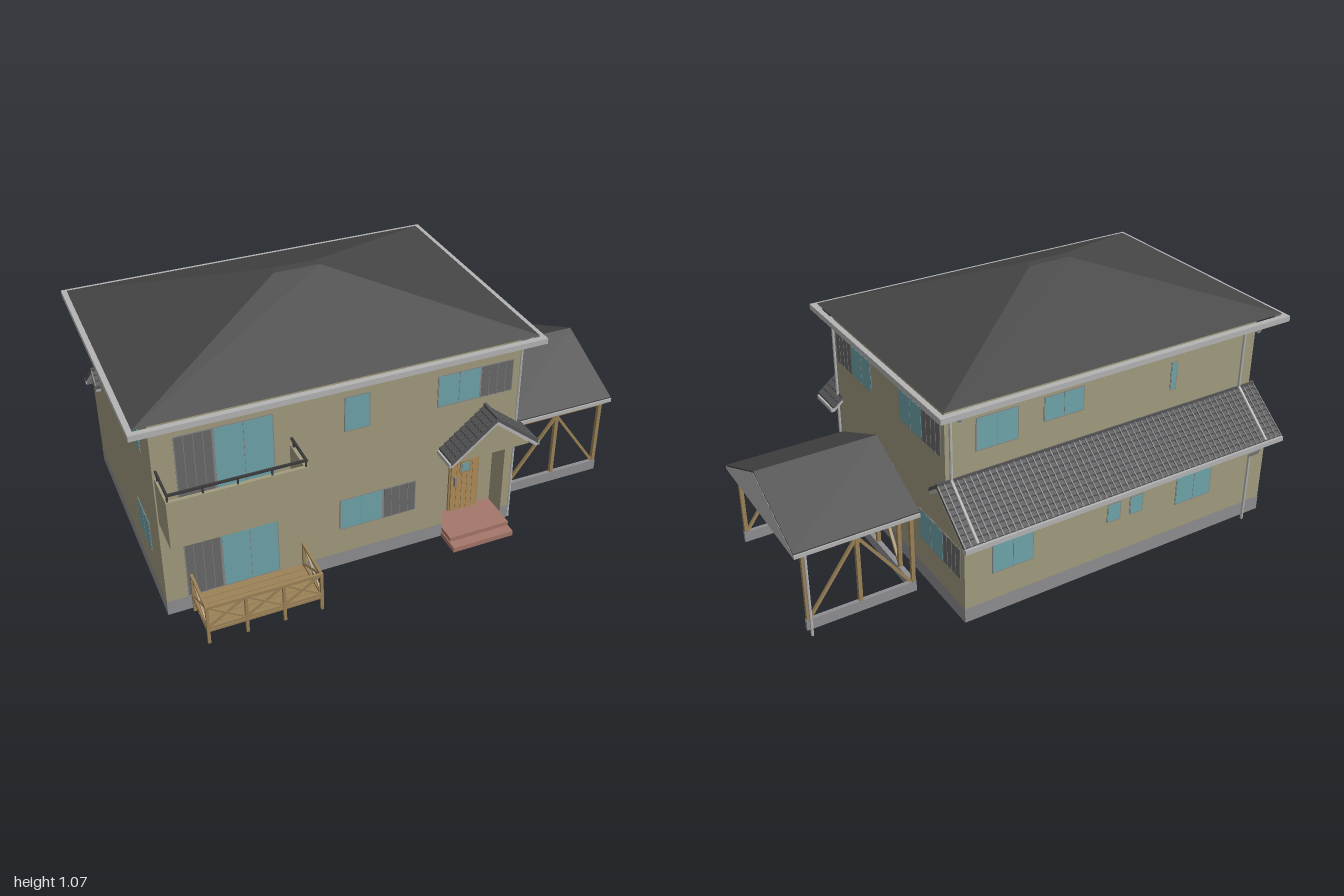
import * as THREE from 'three';

const mat = (color, side = THREE.FrontSide) => new THREE.MeshStandardMaterial({ color, side, flatShading: true });
const M = {
  wall: mat(0xa29b7f, THREE.DoubleSide), base: mat(0x8e8e92, THREE.DoubleSide),
  roof: mat(0x464646), tile: mat(0x555557), trim: mat(0xb4b4b4), frame: mat(0x858583),
  glass: mat(0x6fa5ab), shutter: mat(0x6a6868), wood: mat(0x9c8258), door: mat(0xb08c58),
  brick: mat(0xa5766a), rail: mat(0x3a3a3a),
};

export function createModel() {
  const house = new THREE.Group();
  house.name = 'house';

  const add = (geo, m, name, parent = house) => {
    const mesh = new THREE.Mesh(geo, m);
    mesh.name = name;
    parent.add(mesh);
    return mesh;
  };
  const group = (name, parent = house) => {
    const g = new THREE.Group();
    g.name = name;
    parent.add(g);
    return g;
  };
  // Box given by its lower and upper corner
  const box = (x0, x1, y0, y1, z0, z1, m, name, parent) =>
    add(new THREE.BoxGeometry(x1 - x0, y1 - y0, z1 - z0), m, name, parent)
      .position.set((x0 + x1) / 2, (y0 + y1) / 2, (z0 + z1) / 2);
  // Square or round bar between two points, in the parent's own frame
  const up = new THREE.Vector3(0, 1, 0);
  const bar = (a, b, t, m, name, parent, round = false) => {
    const p = new THREE.Vector3(...a), q = new THREE.Vector3(...b), len = p.distanceTo(q);
    const geo = round ? new THREE.CylinderGeometry(t / 2, t / 2, len, 8).rotateX(Math.PI / 2)
      : new THREE.BoxGeometry(t, t, len);
    const mesh = add(geo, m, name, parent);
    mesh.position.copy(p).add(q).multiplyScalar(0.5);
    mesh.quaternion.setFromRotationMatrix(new THREE.Matrix4().lookAt(q, p, up));
  };
  const pipe = (pts, name) => {
    const g = group(name);
    for (let i = 1; i < pts.length; i++) bar(pts[i - 1], pts[i], 0.012, M.trim, 'pipeSection', g, true);
  };
  const extrude = (pts, depth) => new THREE.ExtrudeGeometry(
    new THREE.Shape(pts.map(p => new THREE.Vector2(...p))), { depth, bevelEnabled: false });
  const alongX = (pts, x0, x1) => extrude(pts, x1 - x0).rotateY(-Math.PI / 2).translate(x1, 0, 0);
  // Closed ring of upright walls over a plan of x/z corners, open above and below
  const wallRing = (plan, y0, y1) => {
    const v = [];
    plan.forEach(([ax, az], i) => {
      const [bx, bz] = plan[(i + 1) % plan.length];
      v.push(ax, y0, az, bx, y0, bz, bx, y1, bz, ax, y0, az, bx, y1, bz, ax, y1, az);
    });
    const geo = new THREE.BufferGeometry();
    geo.setAttribute('position', new THREE.Float32BufferAttribute(v, 3));
    geo.computeVertexNormals();
    return geo;
  };

  // Hollow walls: ground floor with a recessed entrance, then the upper floor
  const groundPlan = e => [
    [-0.925 - e, 0.45 + e], [0.175 - e, 0.45 + e], [0.175 - e, 0.36], [0.435 + e, 0.36],
    [0.435 + e, 0.45 + e], [0.467 + e, 0.45 + e], [0.467 + e, -0.571 - e], [-0.925 - e, -0.571 - e],
  ];
  add(wallRing(groundPlan(0), 0.015, 0.41), M.wall, 'groundFloorWalls');
  add(wallRing(groundPlan(0.001), 0.015, 0.076), M.base, 'foundation');
  add(wallRing([[-0.925, 0.45], [0.467, 0.45], [0.467, -0.446], [-0.925, -0.446]], 0.41, 0.87), M.wall, 'upperFloorWalls');
  box(0.175, 0.435, 0.41, 0.412, 0.36, 0.45, M.wall, 'entranceCeiling');
  for (const x of [-0.925, 0.465])
    add(alongX([[-0.571, 0.41], [-0.446, 0.41], [-0.446, 0.52]], x, x + 0.002), M.wall, 'leanToGable');

  // Hipped main roof: a box whose top is drawn in to a small flat ridge
  const hip = new THREE.BoxGeometry(1.492, 0.198, 1.018);
  const hp = hip.attributes.position;
  for (let i = 0; i < hp.count; i++)
    if (hp.getY(i) > 0) hp.setXYZ(i, Math.sign(hp.getX(i)) * 0.09, 0.099, Math.sign(hp.getZ(i)) * 0.02 + 0.014);
  hip.computeVertexNormals();
  add(hip, M.roof, 'mainRoof').position.set(-0.235, 0.969, -0.013);
  const gutter = group('mainGutter');
  for (const [z0, z1] of [[-0.545, -0.522], [0.496, 0.518]]) box(-1, 0.533, 0.842, 0.864, z0, z1, M.trim, 'gutter', gutter);
  for (const [x0, x1] of [[-1, -0.98], [0.512, 0.533]]) box(x0, x1, 0.842, 0.864, -0.545, 0.518, M.trim, 'gutter', gutter);

  // Tiled slope from ridge to eave in local x/y, running along local z
  const tiledSlope = (ridge, eave, len, courses, parent) => {
    const [rx, ry] = ridge, dx = eave[0] - rx, dy = eave[1] - ry, top = [];
    for (let i = 0; i < courses; i++) {
      const a = i / courses, b = (i + 1) / courses;
      top.push([rx + dx * a, ry + dy * a - 0.005], [rx + dx * b, ry + dy * b + 0.002]);
    }
    add(extrude([...top, [eave[0], eave[1] - 0.014], [rx, ry - 0.014]], len), M.tile, 'tileCourses', parent);
    add(extrude([[rx, ry - 0.014], [eave[0], eave[1] - 0.014], [eave[0] - dx * 0.03, eave[1] - 0.027], [rx, ry - 0.03]], len - 0.006)
      .translate(0, 0, 0.003), M.trim, 'bargeBoard', parent);
    const n = Math.round(len / 0.026);
    for (let i = 0; i <= n; i++) {
      const z = 0.003 + (len - 0.006) * i / n;
      bar([rx, ry - 0.001, z], [eave[0], eave[1] - 0.001, z], 0.005, M.tile, 'tileRoll', parent);
    }
    bar([rx, ry, 0], [rx, ry, len], 0.012, M.tile, 'ridgeCap', parent);
  };

  // Rear lean-to roof
  const lean = group('leanToRoof');
  lean.rotation.y = -Math.PI / 2;
  lean.position.x = 0.503;
  tiledSlope([-0.445, 0.546], [-0.635, 0.395], 1.45, 10, lean);
  tiledSlope([-0.445, 0.546], [-0.387, 0.502], 1.45, 3, lean);
  box(-0.947, 0.503, 0.373, 0.392, -0.645, -0.622, M.trim, 'leanToGutter');

  // Porch roof and entrance
  const porch = group('porch');
  const porchRoof = group('porchRoof', porch);
  porchRoof.position.z = 0.41;
  for (const s of [-1, 1]) {
    tiledSlope([0.33, 0.593], [0.33 + s * 0.183, 0.446], 0.143, 9, porchRoof);
    const gx = 0.33 + s * 0.183;
    box(gx - 0.008, gx + 0.008, 0.422, 0.438, 0.41, 0.55, M.trim, 'porchGutter', porch);
  }
  add(extrude([[0.17, 0.425], [0.487, 0.425], [0.33, 0.565]], 0.08), M.wall, 'porchGable', porch).position.z = 0.45;
  box(0.173, 0.433, 0.015, 0.036, 0.37, 0.56, M.brick, 'lowerStep', porch);
  box(0.177, 0.433, 0.036, 0.054, 0.36, 0.52, M.brick, 'upperStep', porch);
  const door = group('frontDoor', porch);
  box(0.243, 0.373, 0.05, 0.332, 0.355, 0.368, M.wood, 'doorFrame', door);
  box(0.25, 0.366, 0.054, 0.325, 0.36, 0.374, M.door, 'doorLeaf', door);
  for (let i = 1; i < 5; i++) box(0.249 + i * 0.023, 0.251 + i * 0.023, 0.06, 0.32, 0.36, 0.3755, M.wood, 'doorGroove', door);
  box(0.285, 0.333, 0.235, 0.29, 0.36, 0.377, M.wood, 'doorWindowFrame', door);
  box(0.293, 0.325, 0.243, 0.282, 0.36, 0.379, M.glass, 'doorWindow', door);
  box(0.26, 0.268, 0.18, 0.225, 0.37, 0.386, M.frame, 'doorHandle', door);

  // Windows: each wall has an outward-facing frame in which local x runs along the wall
  const walls = {
    front: [0, 0.45, 1], right: [Math.PI / 2, 0.467, -1], left: [-Math.PI / 2, 0.925, 1],
    back: [Math.PI, 0.446, -1], rear: [Math.PI, 0.571, -1],
  };
  const windowOn = (wall, y0, y1, g0, g1, s0, s1) => {
    const [turn, dist, sign] = walls[wall];
    const w = group('window');
    w.rotation.y = turn;
    const span = (a, b) => [a * sign, b * sign].sort((p, q) => p - q);
    const panel = (a, b, m, name) => {
      box(a, b, y0, y1, dist - 0.003, dist + 0.002, M.frame, 'frame', w);
      box(a + 0.004, b - 0.004, y0 + 0.004, y1 - 0.004, dist, dist + 0.003, m, name, w);
    };
    const [a, b] = span(g0, g1), c = (a + b) / 2;
    panel(a, b, M.glass, 'glass');
    if (b - a > 0.11) box(c - 0.001, c + 0.001, y0, y1, dist, dist + 0.004, M.frame, 'mullion', w);
    if (s0 === undefined) return;
    const [p, q] = span(s0, s1);
    panel(p, q, M.shutter, 'shutter');
    for (let i = 1; i < 4; i++) {
      const x = p + (q - p) * i / 4;
      box(x - 0.001, x + 0.001, y0, y1, dist, dist + 0.004, M.frame, 'shutterRib', w);
    }
  };
  windowOn('front', 0.49, 0.775, -0.71, -0.495, -0.845, -0.71);
  windowOn('front', 0.078, 0.358, -0.71, -0.495, -0.845, -0.71);
  windowOn('front', 0.625, 0.77, -0.235, -0.135);
  windowOn('front', 0.63, 0.765, 0.13, 0.305, 0.305, 0.44);
  windowOn('front', 0.187, 0.325, -0.255, -0.08, -0.08, 0.055);
  windowOn('right', 0.632, 0.766, 0.12, 0.29, 0.29, 0.43);
  windowOn('right', 0.632, 0.766, -0.285, -0.11, -0.42, -0.285);
  windowOn('right', 0.19, 0.323, -0.42, -0.24, -0.545, -0.42);
  windowOn('right', 0.25, 0.385, 0.16, 0.255);
  windowOn('right', 0.32, 0.4, -0.04, 0.04);
  for (const [y0, y1] of [[0.632, 0.766], [0.19, 0.325]]) windowOn('left', y0, y1, 0.13, 0.3);
  windowOn('back', 0.632, 0.766, 0.17, 0.345);
  windowOn('back', 0.665, 0.766, -0.11, 0.065);
  windowOn('back', 0.63, 0.75, -0.54, -0.51);
  windowOn('rear', 0.19, 0.325, 0.18, 0.355);
  windowOn('rear', 0.19, 0.325, -0.65, -0.475);
  for (const x of [-0.21, -0.315]) windowOn('rear', 0.225, 0.305, x, x + 0.063);

  // Balcony with a handrail
  const balcony = group('balcony');
  box(-0.92, -0.425, 0.435, 0.45, 0.448, 0.597, M.wall, 'balconyFloor', balcony);
  box(-0.92, -0.425, 0.435, 0.63, 0.583, 0.597, M.wall, 'balconyFront', balcony);
  for (const x of [-0.92, -0.439]) {
    box(x, x + 0.014, 0.435, 0.63, 0.448, 0.583, M.wall, 'balconySide', balcony);
    bar([x + 0.007, 0.655, 0.45], [x + 0.007, 0.655, 0.594], 0.008, M.rail, 'sideRail', balcony);
    bar([x + 0.007, 0.63, 0.47], [x + 0.007, 0.655, 0.47], 0.006, M.rail, 'railPost', balcony);
  }
  bar([-0.917, 0.655, 0.59], [-0.428, 0.655, 0.59], 0.008, M.rail, 'frontRail', balcony);
  for (let i = 0; i <= 4; i++) {
    const x = -0.913 + i * 0.12;
    bar([x, 0.63, 0.59], [x, 0.655, 0.59], 0.006, M.rail, 'railPost', balcony);
  }

  // Wooden deck with crossed railings
  const deck = group('deck');
  for (let i = 0; i < 6; i++) box(-0.835, -0.4, 0.066, 0.076, 0.452 + i * 0.032, 0.481 + i * 0.0323, M.wood, 'deckBoard', deck);
  const crossPanel = (x0, z0, x1, z1) => {
    for (const [a, b] of [[0.178, 0.178], [0.086, 0.086], [0.086, 0.178], [0.178, 0.086]])
      bar([x0, a, z0], [x1, b, z1], a === b ? 0.01 : 0.007, M.wood, 'deckRail', deck);
  };
  const deckX = [-0.83, -0.688, -0.547, -0.405];
  deckX.forEach((x, i) => {
    for (const z of [0.465, 0.639])
      bar([x, 0.015, z], [x, z > 0.5 || i % 3 === 0 ? 0.183 : 0.07, z], 0.011, M.wood, 'deckPost', deck);
    if (i) crossPanel(deckX[i - 1], 0.639, x, 0.639);
  });
  for (const x of [deckX[0], deckX[3]]) crossPanel(x, 0.465, x, 0.639);

  // Carport: gabled roof, timber frame and low concrete walls
  const carport = group('carport');
  for (const s of [-1, 1]) {
    const e = -0.005 + s * 0.33;
    add(alongX([[-0.005, 0.527], [e, 0.375], [e, 0.364], [-0.005, 0.516]], 0.515, 1), M.roof, 'carportRoof', carport);
    box(0.515, 1, 0.355, 0.37, e - 0.006, e + 0.006, M.trim, 'carportGutter', carport);
  }
  add(alongX([[-0.33, 0.357], [0.32, 0.357], [0.32, 0.37], [-0.005, 0.521], [-0.33, 0.37]], 0.985, 1.001), M.trim, 'carportGable', carport);
  const beam = (a, b, t = 0.015) => bar(a, b, t, M.wood, 'carportTimber', carport);
  for (const x of [0.54, 0.755, 0.96]) beam([x, 0.348, -0.32], [x, 0.348, 0.32]);
  for (const z of [-0.31, -0.205, -0.02, 0.15, 0.31]) beam([0.535, 0.348, z], [0.965, 0.348, z]);
  for (const z of [-0.31, 0.31]) {
    box(0.53, 0.97, 0.015, 0.06, z - 0.008, z + 0.008, M.base, 'carportWall', carport);
    for (const x of [0.54, 0.755, 0.96]) beam([x, 0.05, z], [x, 0.35, z]);
    for (const x of [0.55, 0.955]) beam([0.755, 0.34, z], [x, 0.06, z], 0.011);
  }
  box(0.53, 0.55, 0.015, 0.06, -0.31, 0.16, M.base, 'carportWall', carport);
  for (const z of [-0.205, -0.02, 0.15]) beam([0.54, 0.05, z], [0.54, 0.35, z]);
  for (const z of [-0.205, 0.145]) beam([0.54, 0.34, -0.025], [0.54, 0.06, z], 0.011);

  // Downpipes
  pipe([[0.958, 0.36, -0.332], [0.958, 0, -0.332]], 'carportDownpipe');
  pipe([[0.522, 0.845, 0.445], [0.515, 0.825, 0.445], [0.474, 0.818, 0.445], [0.474, 0.015, 0.445]], 'frontDownpipe');
  for (const x of [-0.86, 0.45])
    pipe([[x, 0.845, -0.537], [x, 0.825, -0.53], [x, 0.815, -0.458], [x, 0.555, -0.458], [x, 0.4, -0.638]], 'upperDownpipe');
  pipe([[-0.84, 0.38, -0.635], [-0.84, 0.35, -0.63], [-0.84, 0.305, -0.58], [-0.84, 0, -0.58]], 'rearDownpipe');

  return house;
}
